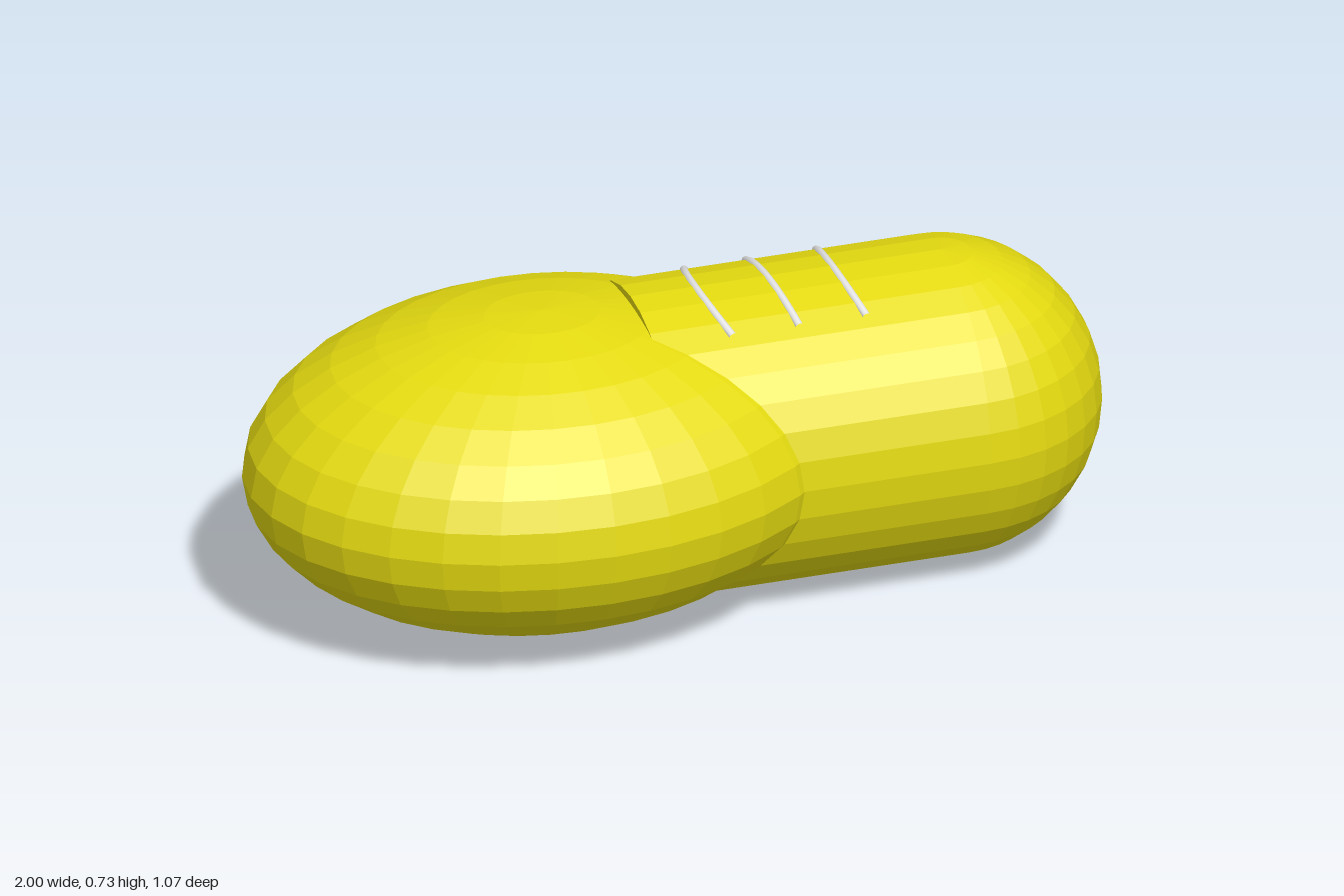
import * as THREE from 'three';

const R = 0.365; // shared half height of both lobes

export function createModel() {
  const group = new THREE.Group();
  const yellow = new THREE.MeshStandardMaterial({ color: 0xe4da10, flatShading: true });
  yellow.name = 'yellow';
  const white = new THREE.MeshStandardMaterial({ color: 0xe6e6e6 });
  white.name = 'pale grey';

  const add = (name, geometry, material, x, y = R) => {
    const mesh = new THREE.Mesh(geometry, material);
    mesh.name = name;
    mesh.position.set(x, y, 0);
    group.add(mesh);
    return mesh;
  };

  // Wide flattened lobe
  add('wideLobe', new THREE.SphereGeometry(1, 32, 16).scale(0.69, R, 0.535), yellow, -0.31);

  // Straight barrel with a rounded end
  const barrel = new THREE.CylinderGeometry(R, R, 0.735, 32).rotateZ(Math.PI / 2);
  add('barrel', barrel, yellow, 0.2675);
  add('roundedEnd', new THREE.SphereGeometry(R, 32, 16), yellow, 0.635);

  // Three thin bowed stripes lying over the top of the barrel
  const stripes = [[0.055, 0.03, 0.0], [0.225, 0.012, 0.006], [0.38, 0.02, 0.002]];
  for (const [x, bow, lean] of stripes) {
    const points = [];
    for (let i = -8; i <= 8; i++) {
      const t = i / 8;
      const a = t * 0.5;
      const r = R - 0.006 + 0.003 * t * t;
      points.push(new THREE.Vector3(bow * t * t + lean * t, r * Math.cos(a), r * Math.sin(a)));
    }
    const tube = new THREE.TubeGeometry(new THREE.CatmullRomCurve3(points), 32, 0.01, 8);
    add('stripe', tube, white, x);
  }
  return group;
}
